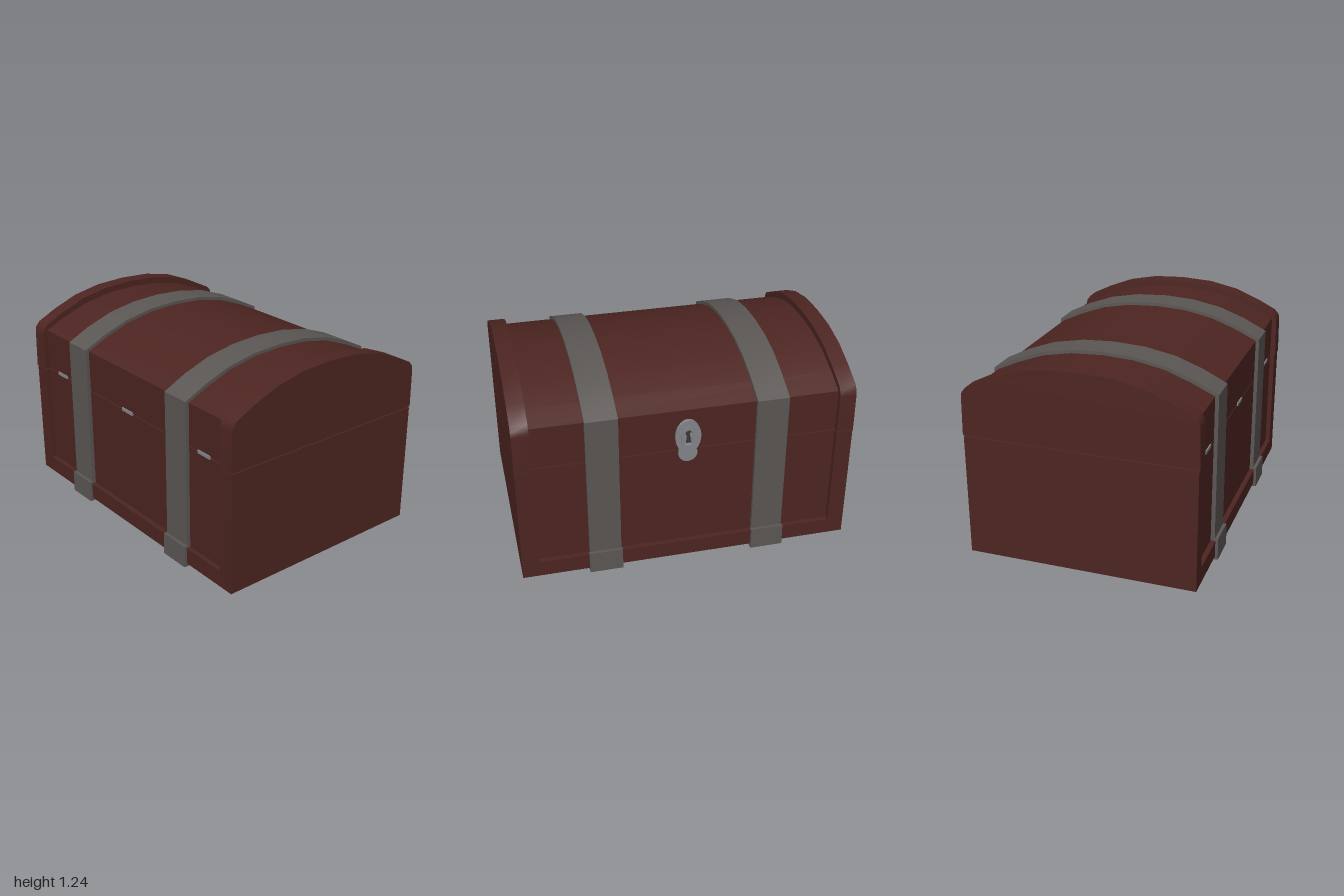
import * as THREE from 'three';
import { toCreasedNormals } from 'three/addons/utils/BufferGeometryUtils.js';

const wood = new THREE.MeshStandardMaterial({ color: 0x4d2521 });
const iron = new THREE.MeshStandardMaterial({ color: 0x5b5755 });
const steel = new THREE.MeshStandardMaterial({ color: 0x85878a });
const dark = new THREE.MeshStandardMaterial({ color: 0x3a3a3a });

// Half profiles as [z, y], from the lower edge up to the ridge
const endArch = [[0.695, 0.777], [0.69, 1.01], [0.685, 1.04], [0.66, 1.07], [0.54, 1.13], [0.38, 1.193], [0.2, 1.23], [0, 1.24]];
const lidArch = [[0.66, 0.777], [0.66, 1.035], [0.53, 1.095], [0.37, 1.155], [0.19, 1.19], [0, 1.2]];
const strapOuter = [[0.685, 0.03], [0.682, 1.045], [0.54, 1.115], [0.375, 1.175], [0.19, 1.21], [0, 1.22]];
const strapInner = [[0.655, 0.03], [0.655, 1.03], [0.53, 1.085], [0.37, 1.145], [0.19, 1.18], [0, 1.19]];
const footOuter = [[0.705, 0.145], [0.708, 0.01], [0.4, 0.004], [0, 0]];
const footInner = [[0.68, 0.145], [0.68, 0.035], [0.4, 0.035], [0, 0.035]];

// Mirror a half profile into a full run from +z to -z
const mirrored = half => [...half, ...half.slice(0, -1).reverse().map(([z, y]) => [-z, y])];

export function createModel() {
  const chest = new THREE.Group();

  const add = (name, geometry, material, x = 0, y = 0, z = 0) => {
    const mesh = new THREE.Mesh(geometry, material);
    mesh.name = name;
    mesh.position.set(x, y, z);
    chest.add(mesh);
    return mesh;
  };
  const box = (name, material, w, h, d, x, y, z) =>
    add(name, new THREE.BoxGeometry(w, h, d), material, x, y, z);

  // Sweep a side-on outline along x, centred on x
  const sweep = (name, points, width, x, material) => {
    const shape = new THREE.Shape(points.map(([z, y]) => new THREE.Vector2(z, y)));
    const geometry = new THREE.ExtrudeGeometry(shape, { depth: width, bevelEnabled: false });
    geometry.translate(0, 0, -width / 2).rotateY(Math.PI / 2);
    return add(name, toCreasedNormals(geometry, 0.6), material, x);
  };
  const band = (outer, inner) => [...mirrored(outer), ...mirrored(inner).reverse()];

  // Body and lid between the two raised ends
  box('bodyPanel', wood, 1.8, 0.74, 1.32, 0, 0.4, 0);
  box('bottomRail', wood, 1.8, 0.1, 1.38, 0, 0.08, 0);
  sweep('lid', mirrored(lidArch), 1.8, 0, wood);

  for (const side of [-1, 1]) {
    // Raised ends of the body and the lid
    box('bodyEnd', wood, 0.1, 0.74, 1.38, side * 0.95, 0.4, 0);
    sweep('lidEnd', mirrored(endArch), 0.1, side * 0.95, wood);
    // Iron strap over the chest and the runner beneath it
    sweep('strap', band(strapOuter, strapInner), 0.19, side * 0.5, iron);
    sweep('strapFoot', band(footOuter, footInner), 0.2, side * 0.5, iron);
  }

  // Hinges on the front seam
  for (const x of [-0.73, 0, 0.73]) box('hinge', steel, 0.106, 0.02, 0.02, x, 0.776, 0.657);

  // Lock plate with a keyhole, facing the back
  const plate = new THREE.Shape().absellipse(0, 0, 0.075, 0.11, 0, Math.PI * 2);
  const keyhole = new THREE.Path();
  keyhole.moveTo(-0.02, -0.05);
  keyhole.lineTo(0.02, -0.05);
  keyhole.lineTo(0.011, 0.012);
  keyhole.absarc(0, 0.028, 0.02, -0.93, Math.PI + 0.93, false);
  plate.holes.push(keyhole);
  const rim = new THREE.Shape().absellipse(0, 0, 0.042, 0.072, 0, Math.PI * 2);
  rim.holes.push(keyhole);
  const slab = (shape, depth) => toCreasedNormals(
    new THREE.ExtrudeGeometry(shape, { depth, bevelEnabled: false, curveSegments: 20 }).rotateY(Math.PI), 0.6);
  add('lockPlate', slab(plate, 0.02), steel, 0, 0.865, -0.66);
  add('keyholeRim', slab(rim, 0.026), steel, 0, 0.865, -0.66);
  box('keyholeBack', dark, 0.05, 0.11, 0.004, 0, 0.865, -0.66);
  const tab = new THREE.Shape().absellipse(0, 0, 0.056, 0.055, 0, Math.PI * 2);
  add('lockTab', slab(tab, 0.016), steel, 0, 0.753, -0.658);

  return chest;
}
